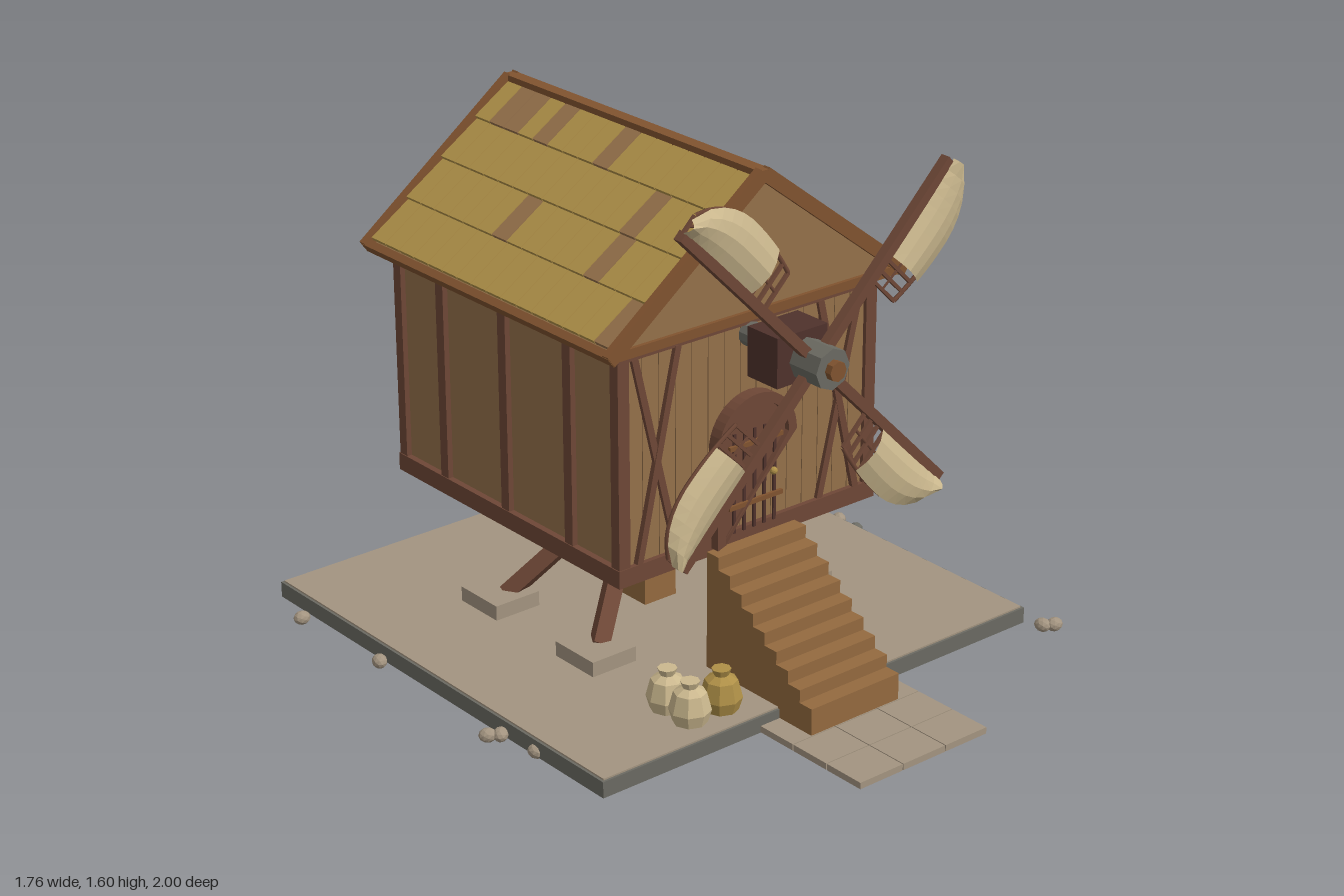
import * as THREE from 'three';

const mat = (name, color) => Object.assign(new THREE.MeshStandardMaterial({ color }), { name });
const wall = mat('wall wood', 0x94704a), beamWood = mat('beam wood', 0x6e4736), dark = mat('dark wood', 0x4f322c),
  trim = mat('trim wood', 0x80532f), gold = mat('straw gold', 0xae8f47), stone = mat('paving stone', 0xa39480),
  slate = mat('slate grey', 0x6b6a62), cloth = mat('sail cloth', 0xcbb88e), stairWood = mat('stair wood', 0x946a3f);

function add(parent, name, geo, material, x = 0, y = 0, z = 0) {
  const m = new THREE.Mesh(geo, material);
  m.name = name;
  m.position.set(x, y, z);
  parent.add(m);
  return m;
}
const box = (p, name, m, w, h, d, x, y, z) => add(p, name, new THREE.BoxGeometry(w, h, d), m, x, y, z);
// faceted normals for low-poly round parts
function flat(geo) {
  const g = geo.index ? geo.toNonIndexed() : geo;
  g.computeVertexNormals();
  return g;
}
// square beam between two points
function beam(p, name, m, a, b, w, d) {
  const A = new THREE.Vector3(...a), B = new THREE.Vector3(...b), dir = B.clone().sub(A);
  const mesh = box(p, name, m, w, dir.length(), d, ...A.clone().add(B).multiplyScalar(0.5).toArray());
  mesh.quaternion.setFromUnitVectors(new THREE.Vector3(0, 1, 0), dir.normalize());
}
function group(parent, name, x = 0, y = 0, z = 0) {
  const g = new THREE.Group();
  g.name = name;
  g.position.set(x, y, z);
  parent.add(g);
  return g;
}

function buildGround(root) {
  const g = group(root, 'ground');
  box(g, 'slab', slate, 1.62, 0.05, 1.585, -0.005, 0.04, -0.2075);
  box(g, 'slabTop', stone, 1.605, 0.006, 1.57, -0.005, 0.067, -0.2075);
  for (let i = 0; i < 3; i++) for (let j = 0; j < 3; j++)
    box(g, 'pathTile', stone, 0.159, 0.02, 0.136, -0.0075 + (i - 1) * 0.162, 0.027, 0.654 + j * 0.139);
  const pebbles = [[-0.86, -0.82], [-0.84, -0.44], [-0.86, 0.12], [-0.83, 0.14], [-0.81, 0.28], [0.85, -0.83],
    [0.82, -0.68], [0.85, -0.665], [0.85, -0.29], [0.815, -0.22], [0.84, -0.2], [0.82, 0.65], [0.85, 0.67]];
  pebbles.forEach(([x, z], i) => {
    const p = add(g, 'pebble', flat(new THREE.IcosahedronGeometry(0.027, 1)), i === 10 ? slate : stone, x, 0.028, z);
    p.scale.set(1, 0.8, 0.85);
    p.rotation.y = i * 1.3;
  });
}

function buildTrestle(root) {
  const g = group(root, 'trestle', -0.005, 0, -0.215);
  box(g, 'centrePost', stairWood, 0.12, 0.36, 0.12, 0, 0.25, 0);
  for (const sx of [-1, 1]) for (const sz of [-1, 1]) {
    box(g, 'footing', stone, 0.16, 0.05, 0.175, sx * 0.385, 0.092, sz * 0.232);
    beam(g, 'leg', beamWood, [sx * 0.05, 0.45, sz * 0.01], [sx * 0.365, 0.1, sz * 0.222], 0.05, 0.05);
  }
}

function buildStairs(root) {
  const g = group(root, 'stairs', -0.01, 0, 0);
  const n = 9, d = 0.0505;
  for (let i = 0; i < n; i++) {
    const top = 0.44 - i * 0.04;
    box(g, 'step', stairWood, 0.334, top - 0.036, d, 0, (top + 0.036) / 2, 0.265 + (i + 0.5) * d);
  }
}

function buildBody(root) {
  const g = group(root, 'millBody', -0.01, 0, -0.27);
  box(g, 'walls', wall, 0.93, 0.69, 1.02, 0, 0.785, 0);
  box(g, 'floorFrame', beamWood, 0.97, 0.055, 1.065, 0, 0.448, 0);
  for (const s of [-1, 1]) {
    box(g, 'sideTopBeam', beamWood, 0.015, 0.03, 1.06, s * 0.472, 1.115, 0);
    for (const z of [-0.3, 0, 0.3]) box(g, 'sidePost', beamWood, 0.025, 0.66, 0.036, s * 0.47, 0.8, z);
    box(g, 'endTopBeam', beamWood, 0.95, 0.035, 0.02, 0, 1.115, s * 0.518);
    for (const e of [-1, 1]) {
      box(g, 'cornerPost', beamWood, 0.04, 0.66, 0.035, s * 0.462, 0.8, e * 0.512);
      const z = e * 0.52;
      beam(g, 'brace', beamWood, [s * 0.42, 1.1, z], [s * 0.27, 0.475, z], 0.022, 0.018);
      beam(g, 'brace', beamWood, [s * 0.265, 1.1, z], [s * 0.41, 0.475, z + e * 0.004], 0.022, 0.018);
    }
  }
  for (let i = 0; i < 15; i++) box(g, 'frontPlank', wall, 0.057, 0.63, 0.01, (i - 7) * 0.0595, 0.785, 0.512);
}

// round-topped outline, open at the bottom
function arch(w, top, bottom) {
  const s = new THREE.Shape();
  s.moveTo(w, bottom);
  s.absarc(0, top - w, w, 0, Math.PI, false);
  s.lineTo(-w, bottom);
  s.closePath();
  return s;
}
function buildDoor(root) {
  const g = group(root, 'door', -0.01, 0, 0.25);
  const opt = depth => ({ depth, bevelEnabled: false, curveSegments: 10 });
  const frame = arch(0.148, 0.895, 0.445);
  frame.holes.push(arch(0.118, 0.865, 0.455));
  add(g, 'doorFrame', new THREE.ExtrudeGeometry(frame, opt(0.042)), beamWood);
  add(g, 'doorPanel', new THREE.ExtrudeGeometry(arch(0.12, 0.867, 0.45), opt(0.025)), beamWood);
  for (let i = -2; i <= 2; i++) box(g, 'doorGroove', dark, 0.01, 0.31, 0.006, i * 0.038, 0.63, 0.027);
  for (const y of [0.56, 0.745]) box(g, 'hingeStrap', trim, 0.2, 0.014, 0.01, 0, y, 0.033);
  add(g, 'doorKnob', flat(new THREE.IcosahedronGeometry(0.012, 1)), gold, 0.065, 0.635, 0.037);
}

function buildRoof(root) {
  const g = group(root, 'roof', -0.007, 0, -0.275);
  const rise = 0.41, run = 0.54, len = Math.hypot(rise, run), ridge = 1.545;
  const tri = new THREE.Shape([[-run, ridge - rise], [run, ridge - rise], [0, ridge]].map(p => new THREE.Vector2(...p)));
  add(g, 'gable', new THREE.ExtrudeGeometry(tri, { depth: 1.14, bevelEnabled: false }), wall, 0, 0, -0.57);
  // brown shingles for each row, counted from the front
  const patched = {
    1: [[10, 15], [2, 5, 7, 14], [11], [1, 4, 7, 13]],
    '-1': [[7, 11, 13, 14], [3], [3, 9], [0]],
  };
  for (const s of [1, -1]) {
    const side = group(g, 'roofSide');
    side.rotation.y = s > 0 ? 0 : Math.PI;
    const slope = group(side, 'slope', 0, ridge, 0);
    slope.rotation.z = -Math.atan2(rise, run);
    for (let r = 0; r < 4; r++) for (let i = 0; i < 16; i++) {
      const m = patched[s][r].includes(i) ? wall : gold;
      const t = box(slope, 'shingle', m, 0.165, 0.013, 0.067, 0.083 + r * 0.162, 0.012, s * (7.5 - i) * 0.0703);
      t.rotation.z = 0.07;
    }
    for (const e of [-1, 1]) {
      box(slope, 'rakeTrim', trim, len + 0.005, 0.042, 0.025, len / 2, 0.008, e * 0.573);
      box(side, 'gableTrim', trim, run, 0.028, 0.02, run / 2, 1.146, e * 0.572);
    }
    box(slope, 'eaveTrim', trim, 0.024, 0.036, 1.165, len - 0.008, 0.004, 0);
  }
  box(g, 'ridgeBeam', trim, 0.042, 0.03, 1.17, 0, 1.55, 0);
}

// sail width at a distance along its arm
const sailWidth = a => a < 0.5 ? 0.158 - 0.6 * (a - 0.5) ** 2 : 0.158 * Math.sqrt(Math.max(0, 1 - ((a - 0.5) / 0.2) ** 2));

function buildSails(root) {
  const g = group(root, 'windSails', -0.01, 1.067, 0);
  const disc = (name, r, d, m, z, sides) =>
    add(g, name, flat(new THREE.CylinderGeometry(r, r, d, sides).rotateX(Math.PI / 2)), m, 0, 0, z);
  disc('axle', 0.037, 0.33, slate, 0.4, 10);
  disc('hub', 0.062, 0.11, slate, 0.545, 8);
  disc('hubCap', 0.03, 0.025, trim, 0.61, 8);
  box(g, 'axleBlock', dark, 0.185, 0.15, 0.125, 0, 0, 0.412);
  for (let k = 0; k < 4; k++) {
    const blade = group(g, 'blade', 0, 0, 0.53);
    blade.rotation.z = Math.PI / 4 + k * Math.PI / 2;
    box(blade, 'spar', beamWood, 0.03, 0.66, 0.03, 0, 0.355, 0);
    // lattice behind the cloth
    const pts = [];
    for (let i = 0; i < 12; i++) {
      const a = 0.28 + i * 0.0365, w = sailWidth(a);
      pts.push(new THREE.Vector3(w, a, 0));
      box(blade, 'rung', beamWood, w, 0.01, 0.01, w / 2, a, 0);
    }
    const rail = new THREE.CatmullRomCurve3(pts);
    add(blade, 'outerRail', new THREE.TubeGeometry(rail, 18, 0.007, 5), beamWood);
    const inner = new THREE.CatmullRomCurve3(pts.map(p => new THREE.Vector3(p.x * 0.5, p.y, 0)));
    add(blade, 'middleRail', new THREE.TubeGeometry(inner, 12, 0.005, 4), beamWood);
    // billowed cloth, seen from the front only
    const sheet = new THREE.PlaneGeometry(1, 1, 4, 9), P = sheet.attributes.position;
    for (let i = 0; i < P.count; i++) {
      const u = P.getX(i) + 0.5, a = 0.365 + 0.328 * (P.getY(i) + 0.5);
      P.setXYZ(i, 0.008 + u * sailWidth(a), a, 0.012 + 0.025 * Math.sin(Math.PI * u));
    }
    add(blade, 'sailCloth', flat(sheet), cloth);
  }
}

function buildSacks(root) {
  const profile = [[0, 0], [0.05, 0], [0.062, 0.04], [0.048, 0.095], [0.022, 0.11], [0.029, 0.13], [0, 0.13]]
    .map(p => new THREE.Vector2(...p));
  for (const [x, z, m] of [[-0.42, 0.38, cloth], [-0.42, 0.48, cloth], [-0.305, 0.48, gold]])
    add(root, 'grainSack', flat(new THREE.LatheGeometry(profile, 8)), m, x, 0.068, z);
}

export function createModel() {
  const root = new THREE.Group();
  root.name = 'postMill';
  for (const build of [buildGround, buildTrestle, buildStairs, buildBody, buildDoor, buildRoof, buildSails, buildSacks]) build(root);
  return root;
}
